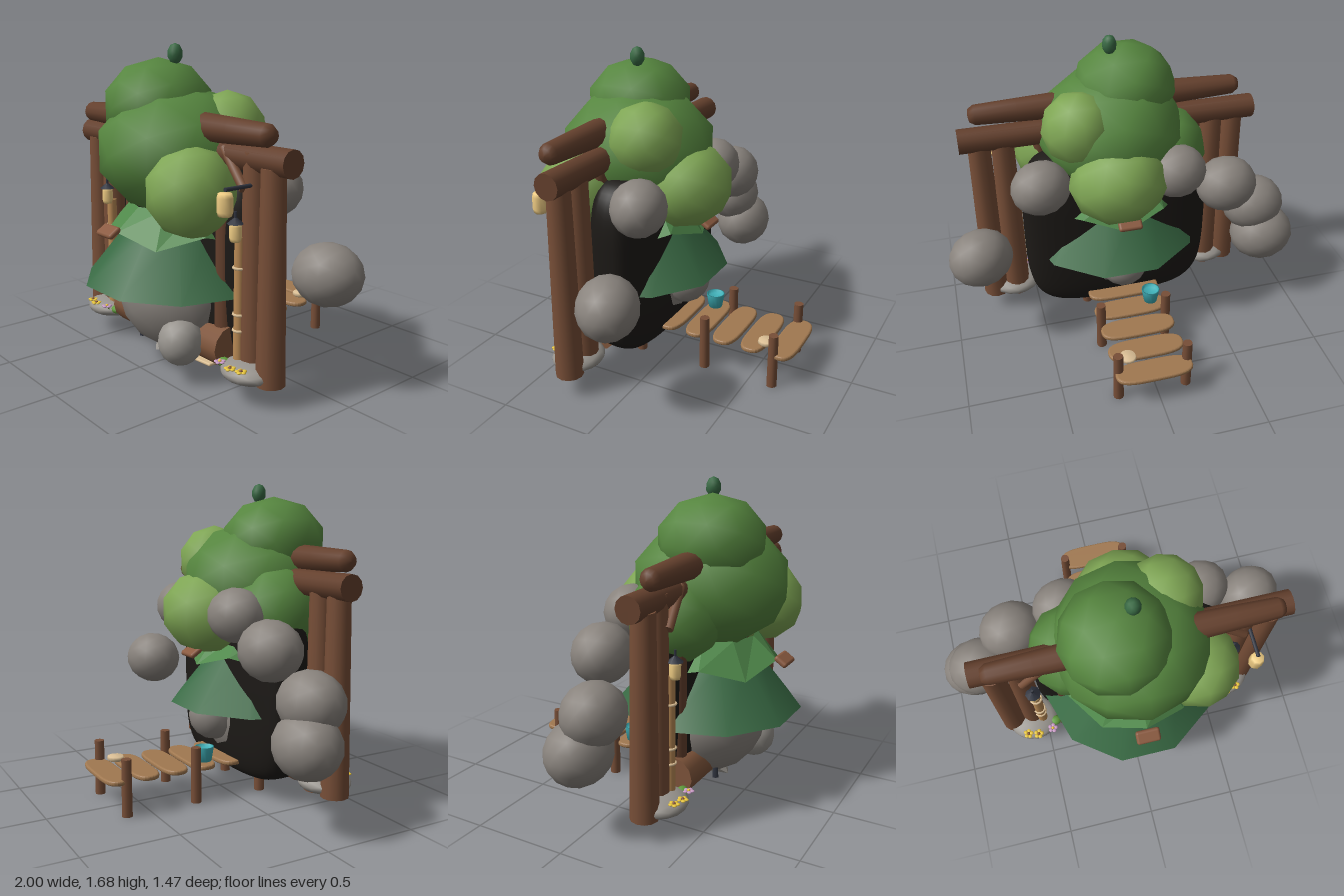
import * as THREE from 'three';
import { RoundedBoxGeometry } from 'three/addons/geometries/RoundedBoxGeometry.js';

const COLORS = {
  bark: 0x774e37, darkBark: 0x64402d, log: 0x7f553b, plank: 0xa07850, bamboo: 0xb98a55, tan: 0xdcc096,
  leaf: 0x56863f, leafLight: 0x7fa654, skirt: 0x396a44, collar: 0x50894b, stone: 0x89837d, paleStone: 0x97938d,
  cave: 0x1c1916, glow: 0xf0cd84, iron: 0x30343f, teal: 0x3fb0b8, clay: 0x8a5a40,
  yellow: 0xe8c53a, pink: 0xc79ac4, moss: 0x5f9a3c,
};
const mats = {};
const mat = (c) => (mats[c] ??= new THREE.MeshStandardMaterial({ color: COLORS[c] }));
const CX = 0.03; // gate and tree axis
const UP = new THREE.Vector3(0, 1, 0);
const power = (v, p) => Math.sign(v) * Math.abs(v) ** p;

export function createModel() {
  const root = new THREE.Group();

  const add = (name, geo, color, pos = [0, 0, 0], parent = root) => {
    const m = new THREE.Mesh(geo, mat(color));
    m.name = name;
    m.position.set(...pos);
    parent.add(m);
    return m;
  };
  const blob = (name, color, pos, size, detail = 2) => {
    const m = add(name, new THREE.IcosahedronGeometry(1, detail), color, pos);
    m.scale.set(...(Array.isArray(size) ? size : [size, size, size]));
    return m;
  };
  // Round bar between two points
  const bar = (name, color, a, b, r0, r1 = r0, sides = 10) => {
    const p = new THREE.Vector3(...a), q = new THREE.Vector3(...b);
    const d = q.clone().sub(p);
    const m = add(name, new THREE.CylinderGeometry(r1, r0, d.length(), sides), color,
      p.add(q).multiplyScalar(0.5).toArray());
    m.quaternion.setFromUnitVectors(UP, d.normalize());
    return m;
  };
  const lathe = (pts, sides) => new THREE.LatheGeometry(pts.map((p) => new THREE.Vector2(...p)), sides);

  // Dark cave body behind the gate: a sphere squared off into a rounded slab
  const caveGeo = new THREE.SphereGeometry(1, 40, 28);
  const v = caveGeo.attributes.position;
  for (let i = 0; i < v.count; i++) {
    const y = v.getY(i), ring = Math.sqrt(Math.max(0, 1 - y * y)) || 1;
    const r = ring === 1 && Math.abs(y) > 0.99 ? 0 : ring ** 0.3;
    v.setXYZ(i, 0.53 * r * power(v.getX(i) / ring, 0.65), 0.495 * power(y, 0.55), 0.17 * r * power(v.getZ(i) / ring, 0.65));
  }
  caveGeo.computeVertexNormals();
  add('caveBody', caveGeo, 'cave', [CX, 0.595, 0.165]);

  // Gate: posts and braces on each side, crossbeams above
  for (const s of [-1, 1]) {
    const x = (d) => CX + s * d;
    bar('outerPost', 'bark', [x(0.718), 0.11, 0.275], [x(0.718), 1.14, 0.275], 0.073, 0.06, 12);
    bar('middlePost', 'bark', [x(0.592), 0.11, 0.265], [x(0.592), 1.2, 0.265], 0.073, 0.06, 12);
    bar('innerPost', 'darkBark', [x(0.385), 0.12, 0.27], [x(0.385), 1.2, 0.27], 0.054, 0.045, 12);
    bar('brace', 'bark', [x(0.585), 1.03, 0.33], [x(0.41), 1.2, 0.3], 0.024);
  }
  bar('lowerBeam', 'darkBark', [CX - 0.825, 1.168, 0.262], [CX + 0.825, 1.168, 0.262], 0.067, 0.067, 12);
  const topBeam = add('upperBeam', lathe([
    [0, -0.755], [0.035, -0.75], [0.054, -0.72], [0.063, -0.5], [0.072, -0.25],
    [0.072, 0.25], [0.063, 0.5], [0.054, 0.72], [0.035, 0.75], [0, 0.755]], 12), 'darkBark', [CX, 1.288, 0.315]);
  topBeam.rotation.z = Math.PI / 2;
  bar('sillLog', 'log', [CX - 0.445, 0.21, 0.28], [CX + 0.445, 0.21, 0.28], 0.107, 0.107, 12);

  // Bamboo poles with rings, hanging lanterns
  const lantern = (x, y, z, w, h) => {
    const g = new THREE.Group();
    g.name = 'lantern';
    g.position.set(x, y, z);
    root.add(g);
    add('lanternBody', lathe([[0, -h / 2], [w * 0.42, -h / 2], [w / 2, -h * 0.3], [w / 2, h * 0.3],
      [w * 0.42, h / 2], [0, h / 2]], 8), 'glow', [0, 0, 0], g);
    return g;
  };
  for (const s of [-1, 1]) {
    const x = CX + s * 0.545;
    bar('bambooPole', 'bamboo', [x, 0.16, 0.317], [x, 0.8, 0.317], 0.03, 0.026);
    for (const y of [0.34, 0.42, 0.65]) {
      const ring = add('poleRing', new THREE.TorusGeometry(0.03, 0.007, 6, 12), 'tan', [x, y, 0.317]);
      ring.rotation.x = Math.PI / 2;
    }
    const l = lantern(x, 0.825, 0.345, 0.06, 0.09);
    add('lanternCap', new THREE.ConeGeometry(0.042, 0.035, 8), 'iron', [0, 0.058, 0], l);
    add('lanternKnob', new THREE.CylinderGeometry(0.007, 0.007, 0.04, 6), 'iron', [0, 0.08, 0], l);
  }
  lantern(0.645, 0.985, 0.472, 0.075, 0.105);
  bar('lanternArm', 'iron', [0.645, 1.052, 0.3], [0.645, 1.052, 0.472], 0.01);

  // Boulders arching around the back
  [[-0.825, 0.45, 0, 0.175], [-0.775, 0.635, 0.055, 0.17], [-0.56, 0.86, -0.035, 0.163], [-0.265, 1.0, -0.05, 0.152],
    [0.465, 0.975, 0.01, 0.154], [0.82, 0.605, -0.025, 0.165]].forEach(([x, y, z, r], i) => {
    blob('boulder', 'stone', [x, y, z], [r * 1.07, r * 0.95, r * 0.94]).rotation.y = 0.08 * i;
  });

  // Stone base under the tree
  blob('baseRock', 'stone', [CX, 0.4, 0.265], [0.345, 0.32, 0.305]);
  blob('backRock', 'stone', [CX, 0.41, -0.02], [0.14, 0.14, 0.14]);
  blob('smallRock', 'paleStone', [0.265, 0.215, 0.43], [0.115, 0.125, 0.12]).rotation.y = 0.5;
  for (let i = 0; i < 7; i++) {
    const p = blob('pebble', 'paleStone', [-0.08 + i * 0.04, 0.105 + 0.012 * (i % 2), 0.2 + 0.07 * (i % 3)],
      [0.07, 0.02, 0.05], 0);
    p.rotation.set(0.2 * (i % 3), i, 0.15);
  }
  add('doorStep', new RoundedBoxGeometry(0.33, 0.016, 0.07, 2, 0.007), 'tan', [0.21, 0.083, 0.3]).rotation.z = 0.05;
  bar('smallPeg', 'iron', [-0.135, 0.11, 0.385], [-0.135, 0.17, 0.385], 0.018, 0.014, 6);

  // Leaf skirt: open ten-sided cone
  const skirt = add('leafSkirt', new THREE.CylinderGeometry(0.26, 0.495, 0.29, 10, 1, true, Math.PI / 10),
    'skirt', [CX, 0.615, 0.262]);
  skirt.material.side = THREE.DoubleSide;
  // Leaf collar: open cone with a zigzag hem
  const collarGeo = new THREE.CylinderGeometry(0.25, 0.385, 0.12, 10, 1, true);
  const cp = collarGeo.attributes.position;
  for (let i = 0; i < cp.count; i++) {
    if (cp.getY(i) < 0) cp.setY(i, i % 2 ? -0.05 : -0.115);
  }
  collarGeo.computeVertexNormals();
  const collar = add('leafCollar', collarGeo, 'collar', [CX, 0.815, 0.258]);
  collar.material = collar.material.clone();
  collar.material.side = THREE.DoubleSide;
  collar.material.flatShading = true;
  for (const [z, tilt] of [[0.685, 0.59], [-0.16, -0.59]]) {
    const w = add('collarTag', new RoundedBoxGeometry(0.13, 0.03, 0.075, 4, 0.014), 'clay', [0.025, 0.777, z]);
    w.rotation.x = tilt;
  }

  // Tree crown
  blob('crownMain', 'leaf', [CX, 1.14, 0.26], [0.415, 0.34, 0.42], 1);
  blob('crownTop', 'leaf', [-0.063, 1.365, 0.305], [0.285, 0.242, 0.285], 1);
  blob('crownRight', 'leaf', [-0.25, 1.01, 0.2], 0.25, 1);
  blob('crownLeftFront', 'leafLight', [0.345, 0.99, 0.42], [0.22, 0.23, 0.23], 1);
  blob('crownLeftBack', 'leafLight', [0.235, 1.25, 0.1], 0.2, 1);
  blob('crownBack', 'leafLight', [0.06, 0.985, -0.045], [0.27, 0.23, 0.245], 1);
  blob('bud', 'skirt', [0.025, 1.625, 0.265], [0.039, 0.053, 0.039], 1);

  // Footing stones with moss and flowers
  for (const s of [-1, 1]) {
    const x = CX + s * 0.6;
    blob('footingStone', 'paleStone', [x, 0.148, 0.3], [0.15, 0.055, 0.135]);
    blob('moss', 'moss', [CX + s * 0.475, 0.16, 0.35], [0.037, 0.024, 0.03], 1);
    [[0.05, 0.4], [-0.01, 0.415], [-0.1, 0.4]].forEach(([d, z], i) => {
      const fx = x + s * d, color = i === 2 ? 'pink' : 'yellow';
      for (let k = 0; k < 5; k++) {
        const a = (k / 5) * Math.PI * 2;
        blob('petal', color, [fx + 0.018 * Math.cos(a), 0.186, z + 0.018 * Math.sin(a)], [0.012, 0.006, 0.012], 1);
      }
      blob('flowerHeart', i === 2 ? 'yellow' : 'clay', [fx, 0.189, z], 0.009, 1);
      bar('flowerStem', 'moss', [fx, 0.14, z - 0.03], [fx, 0.185, z], 0.004, 0.004, 5);
    });
  }

  // Boardwalk behind: rounded planks on pairs of posts
  const plankShape = new THREE.Shape();
  for (let i = 0; i < 32; i++) {
    const a = (i / 32) * Math.PI * 2;
    const px = 0.2 * power(Math.cos(a), 0.5), py = 0.062 * power(Math.sin(a), 0.75);
    if (i) plankShape.lineTo(px, py); else plankShape.moveTo(px, py);
  }
  const plankGeo = new THREE.ExtrudeGeometry(plankShape,
    { depth: 0.006, bevelSize: 0.01, bevelThickness: 0.01, bevelSegments: 3 });
  plankGeo.rotateX(-Math.PI / 2);
  for (let i = 0; i < 5; i++) add('plank', plankGeo, 'plank', [0.025, 0.179, -0.663 + i * 0.165]);
  for (const z of [0.16, -0.235, -0.63]) {
    for (const x of [-0.165, 0.213]) bar('boardwalkPost', 'bark', [x, 0, z], [x, 0.3, z], 0.028, 0.026);
  }

  // Bucket and small dish on the planks
  const bucket = add('bucket', lathe([[0, 0], [0.038, 0], [0.052, 0.08], [0.045, 0.08], [0.04, 0.06], [0, 0.06]], 14),
    'teal', [-0.1, 0.197, -0.15]);
  bucket.material.side = THREE.DoubleSide;
  add('dish', lathe([[0, 0], [0.035, 0], [0.046, 0.012], [0.042, 0.026], [0, 0.028]], 14), 'tan', [0.145, 0.195, -0.565]);

  return root;
}
